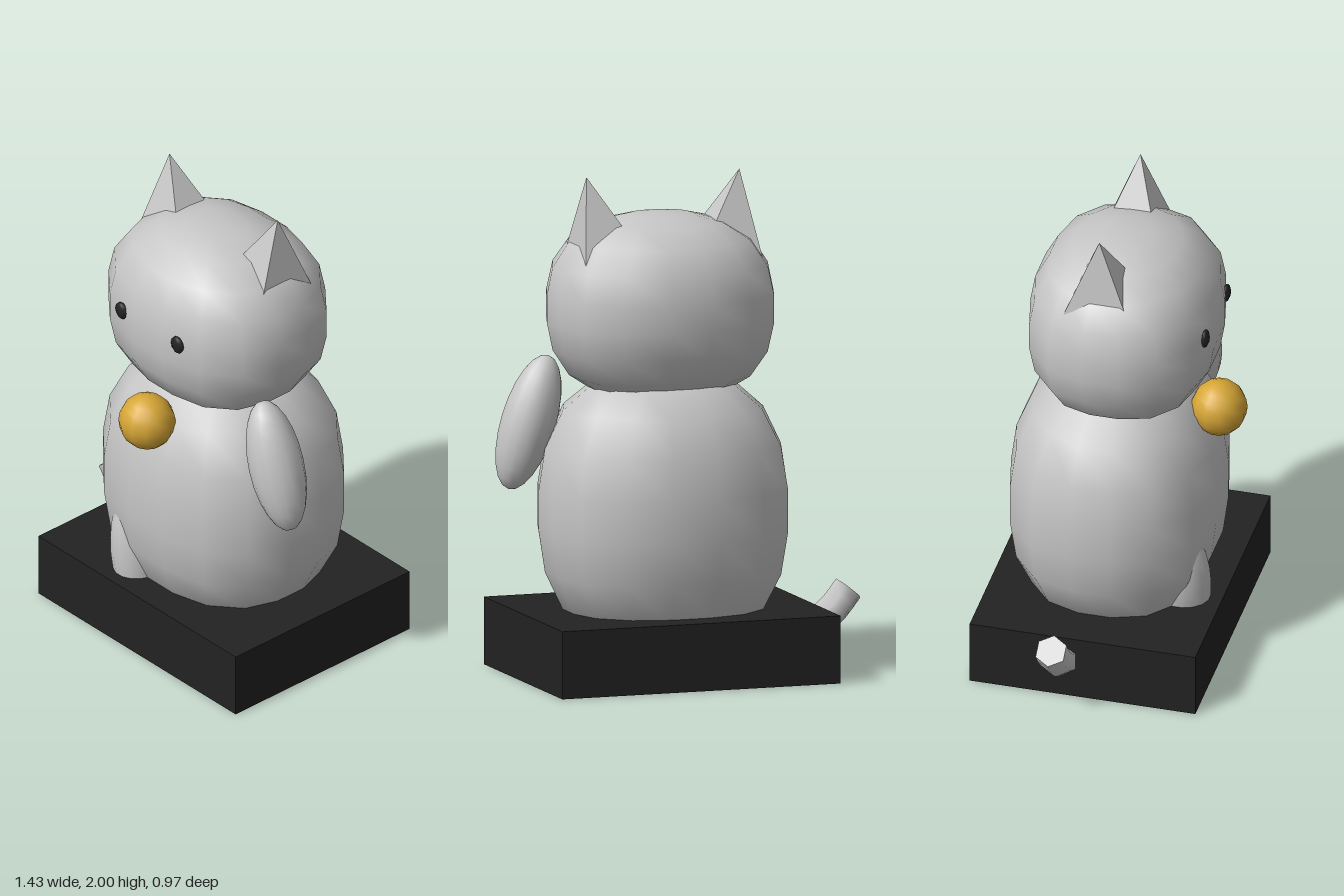
import * as THREE from 'three';
import { mergeVertices, toCreasedNormals } from 'three/addons/utils/BufferGeometryUtils.js';

const grey = new THREE.MeshStandardMaterial({ color: 0xc6c6c6 });
grey.name = 'light grey';
const black = new THREE.MeshStandardMaterial({ color: 0x222222 });
black.name = 'black';
const gold = new THREE.MeshStandardMaterial({ color: 0xd6a636 });
gold.name = 'gold';

const MID = 0.08; // the figure's own centre line

// Ellipsoid with slightly boxy curvature (power 2 is a plain ellipsoid)
function blob(rx, ry, rz, power, segments, rows) {
  let geo = new THREE.SphereGeometry(1, segments, rows);
  geo.rotateY(Math.PI / segments);
  geo.deleteAttribute('uv');
  geo.deleteAttribute('normal');
  geo = mergeVertices(geo, 1e-4);
  const p = geo.attributes.position;
  const v = new THREE.Vector3();
  for (let i = 0; i < p.count; i++) {
    v.fromBufferAttribute(p, i);
    const sum = Math.abs(v.x) ** power + Math.abs(v.y) ** power + Math.abs(v.z) ** power;
    v.multiplyScalar(sum ** (-1 / power));
    p.setXYZ(i, v.x * rx, v.y * ry, v.z * rz);
  }
  geo.computeVertexNormals();
  return geo;
}

// Four-sided ear whose tip leans outwards; side is -1 or 1
function earGeometry(side) {
  const height = 0.4;
  const geo = new THREE.CylinderGeometry(0, 0.225, height, 4, 1).toNonIndexed();
  geo.rotateY(Math.PI / 4);
  const p = geo.attributes.position;
  for (let i = 0; i < p.count; i++) {
    const t = p.getY(i) / height + 0.5;
    p.setX(i, p.getX(i) + side * 0.1 * t);
  }
  geo.computeVertexNormals();
  return geo;
}

// Hexagonal tail swept along a rising curve, with closed ends
function tailGeometry() {
  const path = new THREE.CatmullRomCurve3([
    new THREE.Vector3(-0.36, 0.12, -0.115),
    new THREE.Vector3(-0.5, 0.165, -0.115),
    new THREE.Vector3(-0.6, 0.235, -0.115),
    new THREE.Vector3(-0.665, 0.315, -0.115),
  ]);
  const hexagon = [];
  for (let i = 0; i < 6; i++) {
    const a = Math.PI / 2 + (i * Math.PI) / 3;
    hexagon.push(new THREE.Vector2(0.065 * Math.cos(a), 0.065 * Math.sin(a)));
  }
  const geo = new THREE.ExtrudeGeometry(new THREE.Shape(hexagon), {
    steps: 8, extrudePath: path, bevelEnabled: false,
  });
  return toCreasedNormals(geo, 1.2);
}

export function createModel() {
  const model = new THREE.Group();
  model.name = 'catFigurine';

  const add = (name, geometry, material, x, y, z, tilt = 0) => {
    const mesh = new THREE.Mesh(geometry, material);
    mesh.name = name;
    mesh.position.set(x, y, z);
    mesh.rotation.z = tilt;
    model.add(mesh);
    return mesh;
  };

  // Plinth
  add('base', new THREE.BoxGeometry(1.165, 0.27, 0.92), black, 0.0825, 0.135, -0.03);

  // Body and head
  add('body', blob(0.495, 0.56, 0.422, 2.5, 16, 11), grey, MID, 0.665, -0.03);
  add('head', blob(0.452, 0.375, 0.377, 2.5, 16, 11), grey, MID, 1.465, 0.002);

  // Ears and eyes, mirrored about the centre line
  for (const side of [-1, 1]) {
    const label = side < 0 ? 'right' : 'left';
    add(label + 'Ear', earGeometry(side), grey, MID + side * 0.22, 1.8, -0.03);
    add(label + 'Eye', blob(0.034, 0.037, 0.016, 2, 8, 6), black, MID + side * 0.165, 1.508, 0.362);
  }

  // Raised arm and front leg
  add('leftArm', blob(0.11, 0.276, 0.11, 2, 16, 12), grey, 0.582, 1.007, 0.14, 0.31);
  add('rightLeg', blob(0.1, 0.28, 0.112, 2, 16, 12), grey, -0.09, 0.34, 0.272, 0.12);

  // Bell at the neck
  add('bell', blob(0.115, 0.115, 0.112, 2, 12, 10), gold, MID, 1.075, 0.375);

  add('tail', tailGeometry(), grey, 0, 0, 0);

  return model;
}
